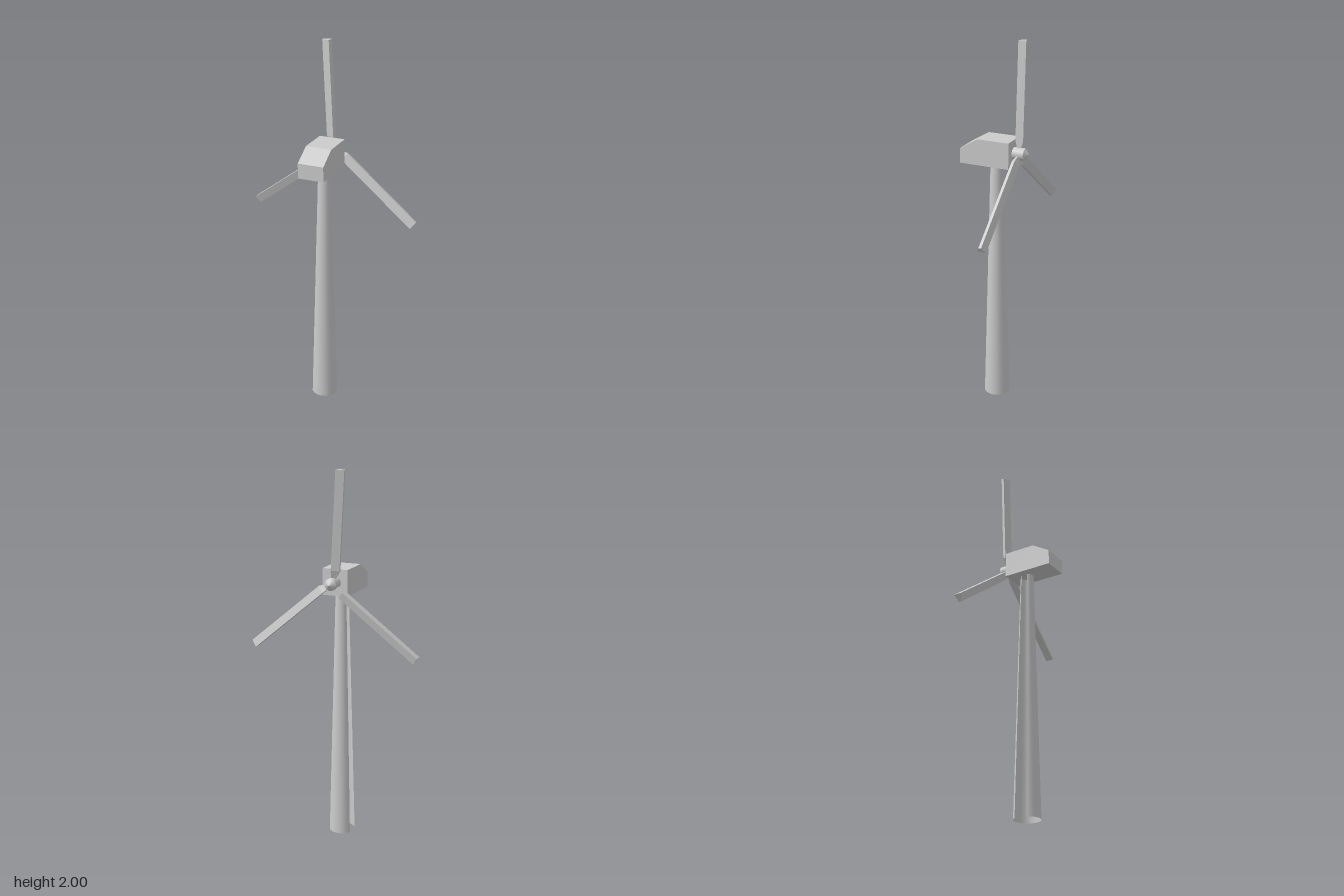
import * as THREE from 'three';

const smooth = new THREE.MeshStandardMaterial({ color: 0xcccccc, side: THREE.DoubleSide });
const flat = new THREE.MeshStandardMaterial({ color: 0xcccccc, flatShading: true });
const HUB_Y = 1.42, ROTOR_Z = -0.125;

function addMesh(parent, name, geometry, material) {
  const mesh = new THREE.Mesh(geometry, material);
  mesh.name = name;
  parent.add(mesh);
  return mesh;
}

// Blade along +x: trapezoid sections, flat on one side and ridged on the other
function bladeGeometry() {
  const section = (x, low, high, wide, narrow) => [
    [x, low, -wide], [x, high, -narrow], [x, high, narrow], [x, low, wide],
  ];
  const rings = [
    section(0.025, -0.006, 0.014, 0.010, 0.004),
    section(0.07, -0.006, 0.036, 0.0215, 0.007),
    section(0.578, -0.006, 0.036, 0.0215, 0.007),
  ];
  const pos = [];
  const quad = (a, b, c, d) => pos.push(...a, ...b, ...c, ...a, ...c, ...d);
  for (let i = 0; i < rings.length - 1; i++) {
    const r = rings[i], s = rings[i + 1];
    for (let j = 0; j < 4; j++) {
      const k = (j + 1) % 4;
      quad(r[j], r[k], s[k], s[j]);
    }
  }
  quad(...rings[2]); // tip cap
  quad(...[...rings[0]].reverse()); // root cap
  const geometry = new THREE.BufferGeometry();
  geometry.setAttribute('position', new THREE.Float32BufferAttribute(pos, 3));
  geometry.computeVertexNormals();
  return geometry;
}

export function createModel() {
  const model = new THREE.Group();
  model.name = 'windTurbine';

  // Tapered open tower shell with a full-height slot on the -x side
  const tower = addMesh(model, 'tower', new THREE.CylinderGeometry(
    0.035, 0.07, 1.35, 20, 1, true, Math.PI * 5 / 3, Math.PI * 5 / 3), smooth);
  tower.position.y = 0.675;

  // Nacelle: side profile (z, y) extruded across x, with a sloped nose
  const profile = new THREE.Shape([
    [0.095, 1.35], [0.095, 1.49], [-0.08, 1.49], [-0.18, 1.43], [-0.18, 1.35],
  ].map(([x, y]) => new THREE.Vector2(x, y)));
  const nacelle = new THREE.ExtrudeGeometry(profile, { depth: 0.14, bevelEnabled: false });
  nacelle.translate(0, 0, -0.07).rotateY(Math.PI / 2);
  addMesh(model, 'nacelle', nacelle, flat);

  // Rotor: hub, pointed cap and three blades
  const rotor = new THREE.Group();
  rotor.name = 'rotor';
  rotor.position.set(0, HUB_Y, 0);
  model.add(rotor);

  const hub = addMesh(rotor, 'hub', new THREE.CylinderGeometry(0.032, 0.032, 0.064, 20), smooth);
  hub.rotation.x = -Math.PI / 2;
  hub.position.z = -0.126;
  const cap = addMesh(rotor, 'hubCap', new THREE.ConeGeometry(0.032, 0.024, 20), smooth);
  cap.rotation.x = -Math.PI / 2;
  cap.position.z = -0.17;

  const blade = bladeGeometry();
  [93, 217, -40].forEach((degrees, i) => {
    const mesh = addMesh(rotor, 'blade' + (i + 1), blade, flat);
    mesh.rotation.z = THREE.MathUtils.degToRad(degrees);
    mesh.position.z = ROTOR_Z;
  });

  return model;
}
